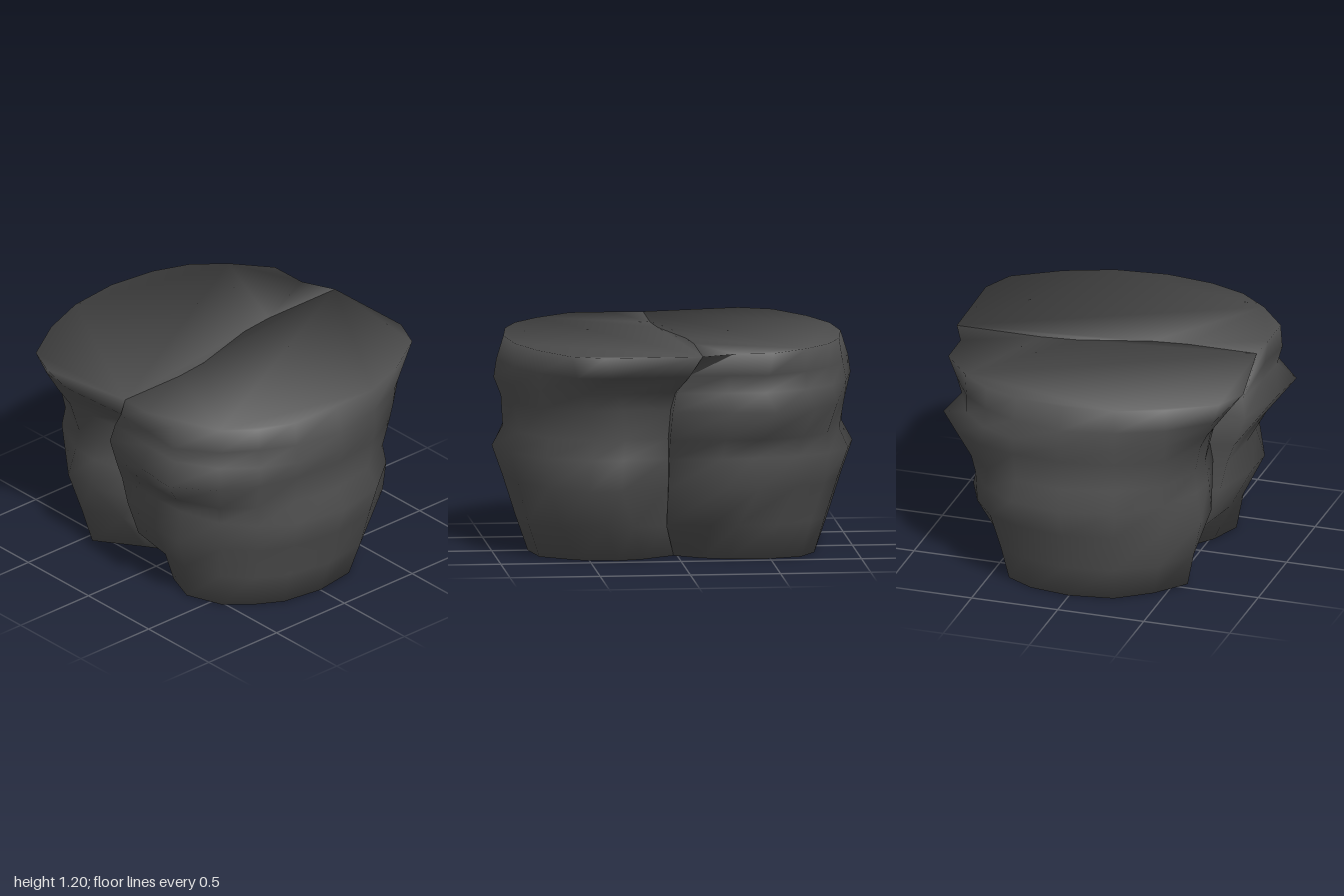
import * as THREE from 'three';

// Directions (degrees from +x towards +z) of the outer points of one half
const ANGLES = [27, 38, 55, 72, 90, 107, 120, 133, 149, 162];

// Each level: height, right and left crack ends (x), crack z at the right end, outer radii
const LEVELS = [
  { y: 0.0, right: 0.28, left: -0.38, crack: 0.02, radii: [0.45, 0.56, 0.69, 0.80, 0.80, 0.80, 0.78, 0.76, 0.69, 0.55] },
  { y: 0.2, right: 0.50, left: -0.56, crack: 0.08, radii: [0.58, 0.68, 0.81, 0.87, 0.87, 0.86, 0.84, 0.80, 0.73, 0.64] },
  { y: 0.42, right: 0.58, left: -0.64, crack: 0.08, radii: [0.76, 0.86, 0.90, 0.93, 0.94, 0.93, 0.92, 0.89, 0.85, 0.76] },
  { y: 0.59, right: 0.60, left: -0.68, crack: 0.08, radii: [0.74, 0.82, 0.92, 0.98, 1.00, 0.99, 0.95, 0.90, 0.80, 0.73] },
  { y: 0.7, right: 0.58, left: -0.72, crack: 0.08, radii: [0.71, 0.80, 0.90, 0.92, 0.94, 0.94, 0.94, 0.93, 0.87, 0.78] },
  { y: 0.87, right: 0.62, left: -0.78, crack: 0.07, radii: [0.75, 0.85, 0.94, 0.95, 0.95, 0.97, 1.00, 1.03, 1.03, 0.90] },
  { y: 0.97, right: 0.68, left: -0.76, crack: 0.05, radii: [0.80, 0.92, 0.96, 0.97, 0.99, 0.98, 0.97, 0.96, 0.92, 0.82] },
  { y: 1.07, right: 0.77, left: -0.78, crack: -0.02, radii: [0.90, 0.98, 0.97, 0.96, 0.975, 0.96, 0.95, 0.96, 0.95, 0.83] },
  { y: 1.2, right: 0.89, left: -0.80, crack: -0.08, radii: [1.01, 1.04, 0.98, 0.95, 0.935, 0.94, 0.95, 0.94, 0.94, 0.85] },
];

// The second half: slimmer left flank, a corner jutting out at the foot, matching ends on top
function backLevel(level) {
  const { y, right, left, radii } = level;
  if (y === 1.2) return { ...level, right: -left, left: -right };
  const foot = Math.max(0, 1 - y / 0.42);
  const flank = 0.94 - 0.2 * foot;
  const scale = { 1: 1 + 0.3 * foot, 2: 1 + 0.1 * foot, 7: 0.97 - 0.1 * foot, 8: flank, 9: flank };
  return { ...level, left: left * flank, radii: radii.map((r, i) => r * (scale[i] ?? 1)) };
}

// Closed outline of a half at one level: round the outside, then back along the crack
function outline(level, isBack) {
  const { right, left, crack, radii } = isBack ? backLevel(level) : level;
  const pts = [new THREE.Vector2(right, crack)];
  ANGLES.forEach((deg, i) => {
    const a = THREE.MathUtils.degToRad(deg);
    pts.push(new THREE.Vector2(Math.cos(a) * radii[i], Math.sin(a) * radii[i]));
  });
  pts.push(new THREE.Vector2(left, -crack));
  // S-shaped crack, the same for both halves
  for (let t = -1; t <= 1; t += 0.5) {
    pts.push(new THREE.Vector2(t * 0.45 * level.right, crack * Math.sin((t * Math.PI) / 2)));
  }
  return pts;
}

// Solid half: walls lofted through the levels, flat top and bottom
function halfGeometry(isBack) {
  const rings = LEVELS.map((level) => outline(level, isBack));
  const n = rings[0].length;
  const top = (rings.length - 1) * n;
  const positions = [];
  const index = [];
  rings.forEach((ring, j) => ring.forEach((p) => positions.push(p.x, LEVELS[j].y, p.y)));
  for (let j = 0; j < rings.length - 1; j++) {
    for (let i = 0; i < n; i++) {
      const k = (i + 1) % n;
      const a = j * n + i, b = j * n + k, c = a + n, d = b + n;
      index.push(a, c, b, b, c, d);
    }
  }
  const geometry = new THREE.BufferGeometry();
  geometry.setAttribute('position', new THREE.Float32BufferAttribute(positions, 3));
  geometry.setIndex(index);
  geometry.computeVertexNormals();

  // Rim normals lean towards the caps, so the shading rolls smoothly over the edges
  const normals = geometry.attributes.normal;
  const v = new THREE.Vector3();
  for (let i = 0; i < n; i++) {
    for (const [at, lean] of [[i, -0.6], [top + i, 0.9]]) {
      v.fromBufferAttribute(normals, at);
      v.y += lean;
      v.normalize();
      normals.setXYZ(at, v.x, v.y, v.z);
    }
  }

  // Caps
  for (const [a, b, c] of THREE.ShapeUtils.triangulateShape(rings[0], [])) index.push(a, b, c);
  for (const [a, b, c] of THREE.ShapeUtils.triangulateShape(rings[rings.length - 1], [])) {
    index.push(top + a, top + c, top + b);
  }
  geometry.setIndex(index);
  return geometry;
}

export function createModel() {
  const stone = new THREE.MeshStandardMaterial({ color: 0x505050 });
  stone.name = 'dark grey stone';

  const group = new THREE.Group();
  group.name = 'splitRock';

  const front = new THREE.Mesh(halfGeometry(false), stone);
  front.name = 'frontHalf';
  group.add(front);

  // The back half is a variant of the front one, turned around
  const back = new THREE.Mesh(halfGeometry(true), stone);
  back.name = 'backHalf';
  back.rotation.y = Math.PI;
  group.add(back);

  return group;
}
